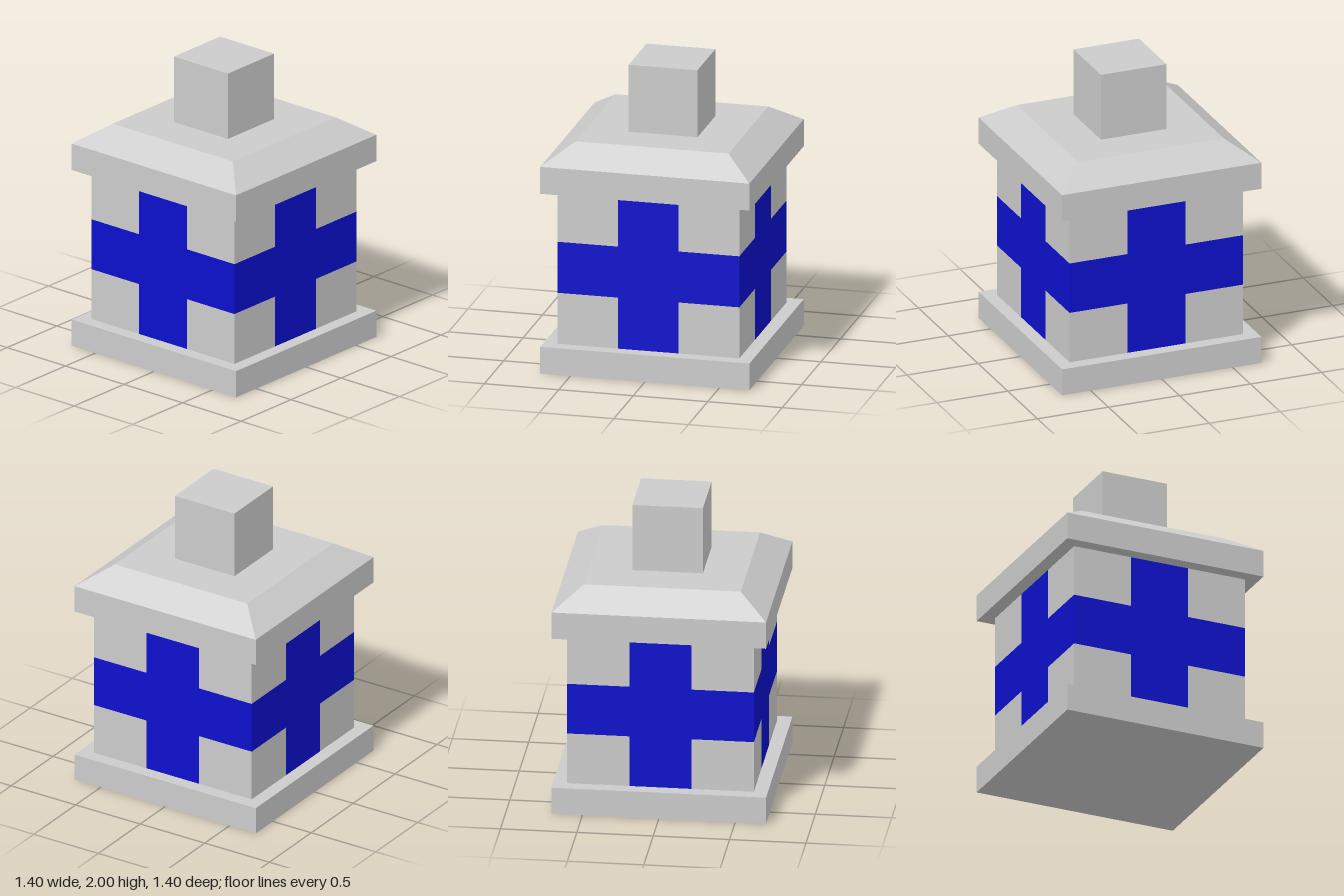
import * as THREE from 'three';

const grey = new THREE.MeshStandardMaterial({ color: 0xcccccc, flatShading: true });
const blue = new THREE.MeshStandardMaterial({ color: 0x0d10cc, flatShading: true });

// Heights of the main layers and half widths
const BASE_TOP = 0.183, WALL_TOP = 1.228, EAVE_TOP = 1.412, ROOF_TOP = 1.543, TOP = 2;
const SLAB = 0.702, WALL = 0.611, ROOF = 0.513, CHIMNEY = 0.231;

function mesh(name, geometry, material = grey) {
  const m = new THREE.Mesh(geometry, material);
  m.name = name;
  return m;
}

// Square block standing between two heights
function block(name, half, y0, y1) {
  const m = mesh(name, new THREE.BoxGeometry(half * 2, y1 - y0, half * 2));
  m.position.y = (y0 + y1) / 2;
  return m;
}

// One wall: three by three equal panels, the middle row and column forming a blue cross
function createWall() {
  const wall = new THREE.Group();
  const w = (WALL * 2) / 3, h = (WALL_TOP - BASE_TOP) / 3;
  const a = w / 2, b = h / 2;
  const outline = [
    [-a, -3 * b], [a, -3 * b], [a, -b], [3 * a, -b], [3 * a, b], [a, b],
    [a, 3 * b], [-a, 3 * b], [-a, b], [-3 * a, b], [-3 * a, -b], [-a, -b],
  ].map(([x, y]) => new THREE.Vector2(x, y));
  wall.add(mesh('wallCross', new THREE.ShapeGeometry(new THREE.Shape(outline)), blue));
  for (const sx of [-1, 1]) {
    for (const sy of [-1, 1]) {
      const panel = mesh('wallCornerPanel', new THREE.PlaneGeometry(w, h));
      panel.position.set(sx * w, sy * h, 0);
      wall.add(panel);
    }
  }
  wall.children.forEach((part) => { part.position.z = WALL; });
  wall.position.y = (BASE_TOP + WALL_TOP) / 2;
  return wall;
}

export function createModel() {
  const model = new THREE.Group();
  model.name = 'house';

  // Base slab and four walls
  model.add(block('base', SLAB, 0, BASE_TOP));
  ['frontWall', 'leftWall', 'backWall', 'rightWall'].forEach((name, i) => {
    const wall = createWall();
    wall.name = name;
    wall.rotation.y = (i * Math.PI) / 2;
    model.add(wall);
  });

  // Eaves slab with a truncated pyramid roof
  model.add(block('eaves', SLAB, WALL_TOP, EAVE_TOP));
  const roofGeometry = new THREE.CylinderGeometry(
    ROOF * Math.SQRT2, SLAB * Math.SQRT2, ROOF_TOP - EAVE_TOP, 4);
  roofGeometry.rotateY(Math.PI / 4);
  const roof = mesh('roof', roofGeometry);
  roof.position.y = (EAVE_TOP + ROOF_TOP) / 2;
  model.add(roof);

  // Square chimney
  model.add(block('chimney', CHIMNEY, ROOF_TOP, TOP));
  return model;
}
